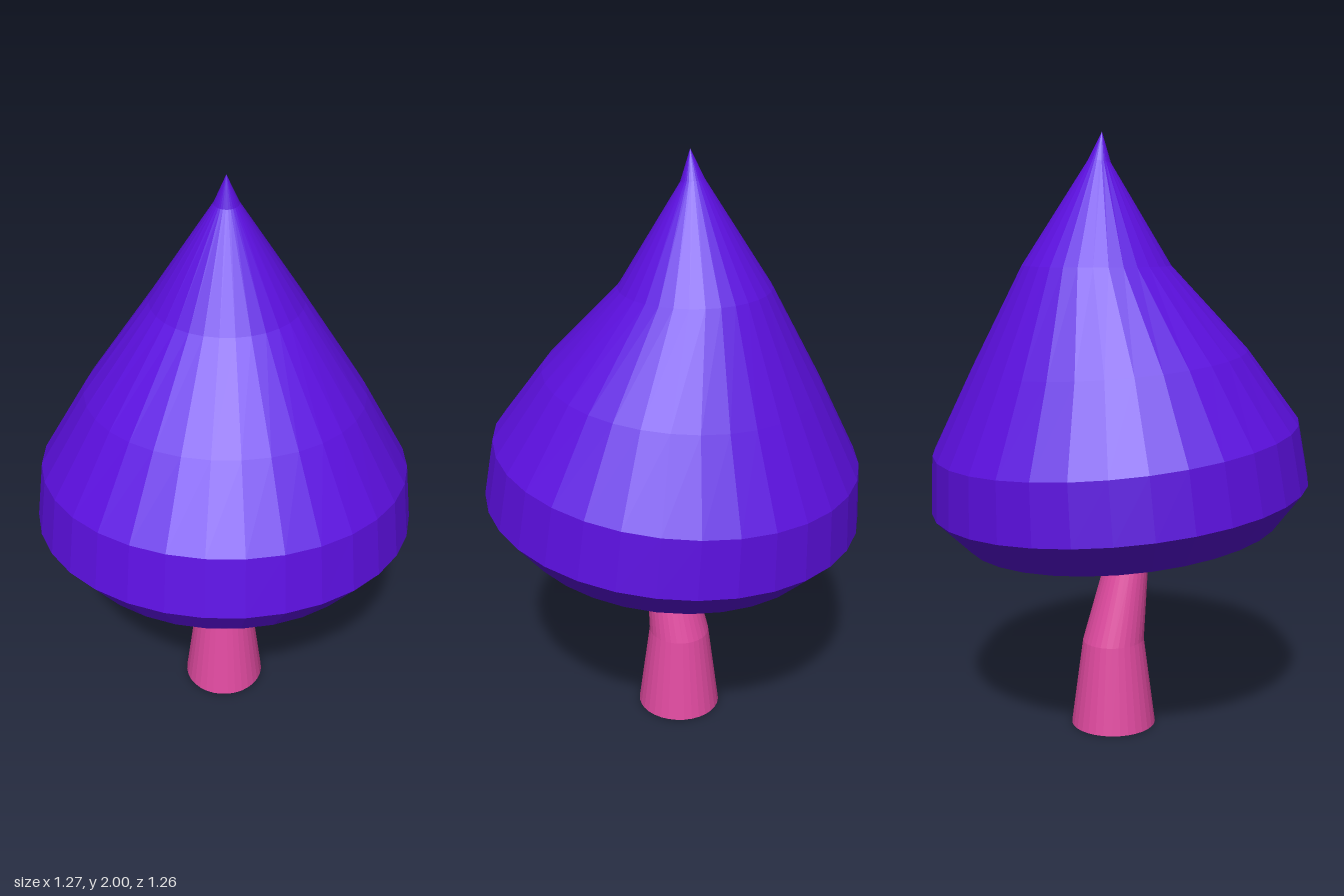
import * as THREE from 'three';

const SIDES = 32;

// Skin tilted elliptical rings, bottom to top.
// Each ring: [front z, front y, back z, back y, half width in x]
function loft(name, rings, color, cx = 0) {
  const pos = [];
  const point = ([zf, yf, zb, yb, rx], i) => {
    const a = (i / SIDES) * Math.PI * 2, c = Math.cos(a);
    return [
      cx + rx * Math.sin(a),
      (yf + yb) / 2 + ((yf - yb) / 2) * c,
      (zf + zb) / 2 + ((zf - zb) / 2) * c,
    ];
  };
  for (let r = 0; r < rings.length - 1; r++) {
    const lo = rings[r], up = rings[r + 1];
    for (let i = 0; i < SIDES; i++) {
      const a = point(lo, i), b = point(lo, i + 1);
      const c = point(up, i + 1), d = point(up, i);
      if (lo[4] > 0) pos.push(...a, ...b, ...c);
      if (up[4] > 0) pos.push(...a, ...c, ...d);
      // a ring of zero width closes to a single point
    }
  }
  const geo = new THREE.BufferGeometry();
  geo.setAttribute('position', new THREE.Float32BufferAttribute(pos, 3));
  geo.computeVertexNormals();
  const mesh = new THREE.Mesh(geo, new THREE.MeshStandardMaterial({ color, flatShading: true }));
  mesh.name = name;
  return mesh;
}

export function createModel() {
  const model = new THREE.Group();
  model.name = 'mushroom';

  // Bent, tapering stem with a closed foot
  model.add(loft('stem', [
    [-0.025, 0, -0.025, 0, 0],
    [0.12, 0, -0.17, 0, 0.143],
    [0.08, 0.3, -0.13, 0.295, 0.105],
    [0.102, 0.57, -0.053, 0.535, 0.08],
    [0.082, 0.86, -0.066, 0.85, 0.073],
  ], 0xe04aa0, -0.003));

  // Tilted pointed cap: hollowed underside, slanted lip, band, then the cone
  model.add(loft('cap', [
    [0.012, 0.83, 0.012, 0.83, 0],
    [0.545, 0.75, -0.515, 0.645, 0.53],
    [0.635, 0.88, -0.63, 0.755, 0.635],
    [0.595, 1.08, -0.625, 0.95, 0.612],
    [0.415, 1.31, -0.492, 1.235, 0.462],
    [0.155, 1.575, -0.33, 1.575, 0.248],
    [-0.038, 1.9, -0.112, 1.91, 0.04],
    [-0.065, 2, -0.065, 2, 0],
  ], 0x5c0fe0));

  return model;
}
